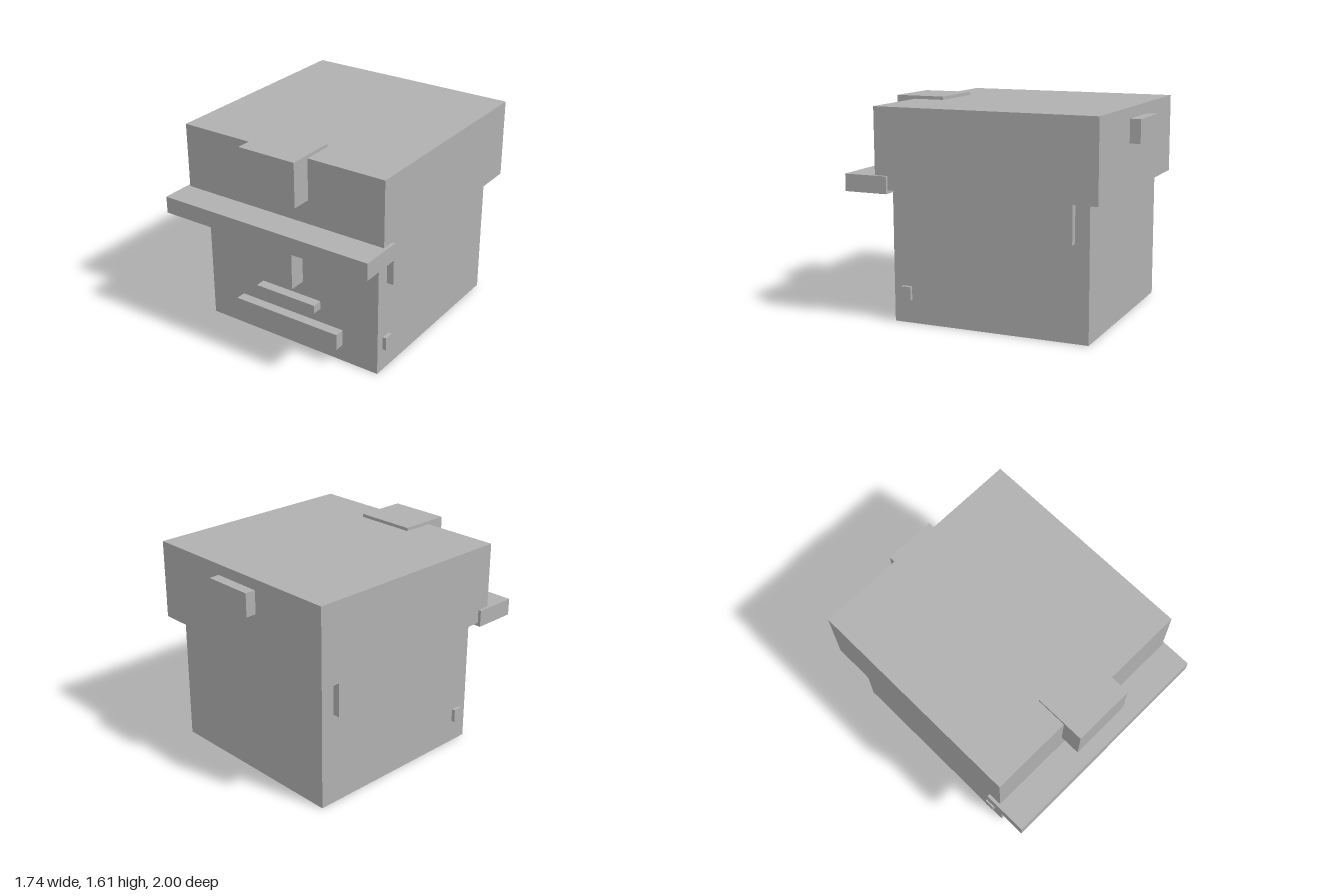
import * as THREE from 'three';

export function createModel() {
  const model = new THREE.Group();
  model.name = 'blockHead';
  const grey = new THREE.MeshStandardMaterial({ color: 0xb0b0b0 });
  grey.name = 'grey';

  // Axis-aligned block given by its [min, max] range on each axis
  function block(name, x, y, z) {
    const geometry = new THREE.BoxGeometry(x[1] - x[0], y[1] - y[0], z[1] - z[0]);
    const mesh = new THREE.Mesh(geometry, grey);
    mesh.position.set((x[0] + x[1]) / 2, (y[0] + y[1]) / 2, (z[0] + z[1]) / 2);
    mesh.name = name;
    model.add(mesh);
  }

  // The same block on the left (+x) and the right (-x)
  function pair(name, x, y, z) {
    block('left' + name, x, y, z);
    block('right' + name, [-x[1], -x[0]], y, z);
  }

  // Head and cap
  block('head', [-0.75, 0.75], [0, 0.99], [-0.83, 0.677]);
  block('capCrown', [-0.845, 0.845], [0.99, 1.586], [-0.92, 0.767]);
  block('capBrim', [-0.868, 0.868], [0.965, 1.093], [0.665, 1]);
  block('capBadge', [-0.235, 0.23], [1.275, 1.61], [0.532, 0.92]);
  block('capBackStrap', [-0.195, 0.195], [1.33, 1.505], [-1, -0.92]);

  // Face
  pair('Eye', [0.197, 0.427], [0.81, 0.937], [0.677, 0.755]);
  block('nose', [-0.105, 0.105], [0.55, 0.832], [0.677, 0.807]);
  block('mouth', [-0.26, 0.257], [0.372, 0.437], [0.677, 0.755]);
  block('chin', [-0.455, 0.452], [0.135, 0.26], [0.677, 0.755]);

  // Sides of the head
  pair('HairPanel', [0.75, 0.803], [0.704, 0.99], [-0.724, 0.572]);
  pair('JawStud', [0.75, 0.778], [0.174, 0.275], [0.535, 0.61]);

  return model;
}
